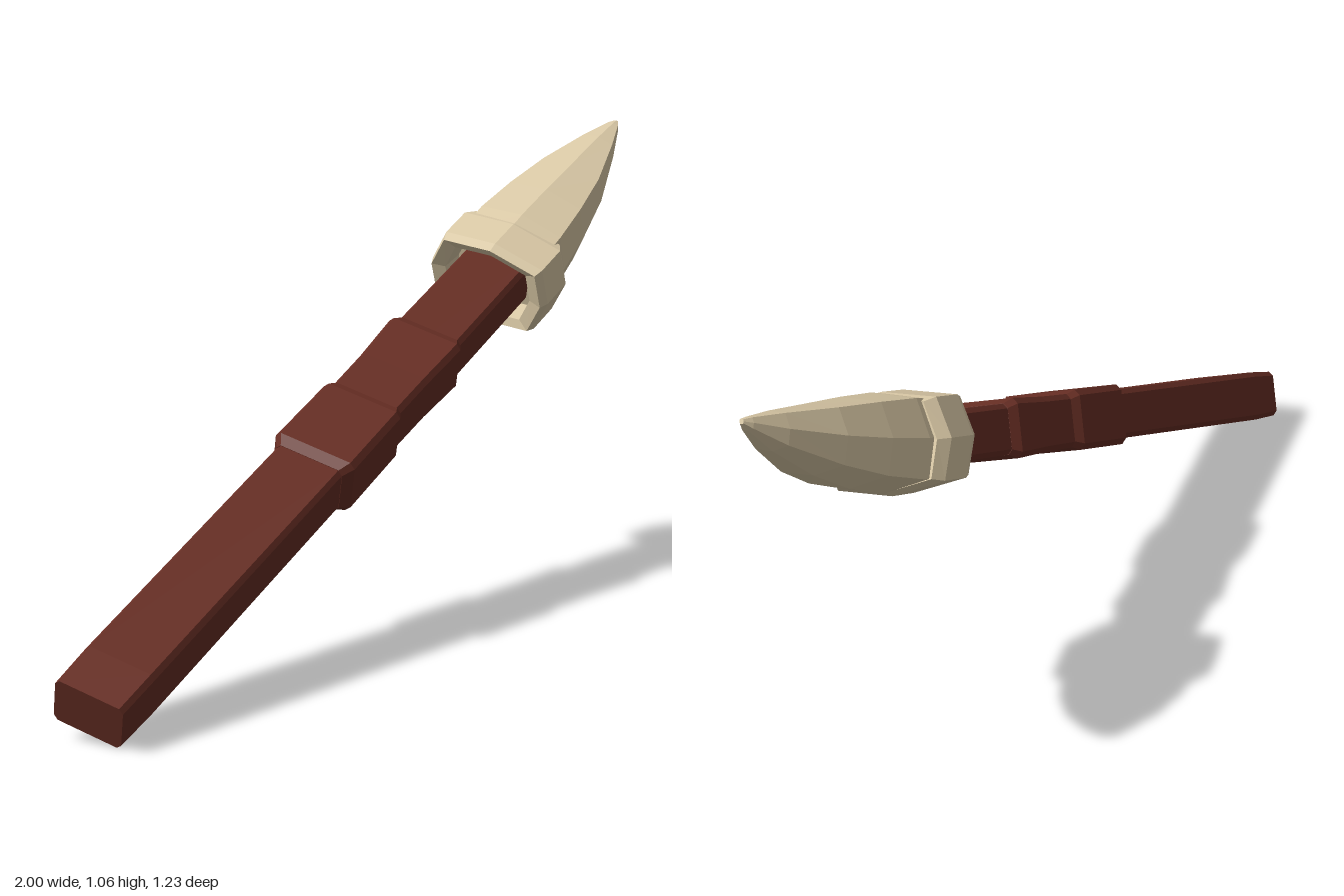
import * as THREE from 'three';

const wood = new THREE.MeshStandardMaterial({ color: 0x672e24 });
wood.name = 'darkWood';
wood.flatShading = true;
const bone = new THREE.MeshStandardMaterial({ color: 0xdccba8 });
bone.name = 'paleBone';
bone.flatShading = true;

// Chamfered rectangle and bulging octagon outlines, in unit half-widths
const BAR = [[1, -0.8], [1, 0.8], [0.88, 1], [-0.88, 1], [-1, 0.8], [-1, -0.8], [-0.88, -1], [0.88, -1]];
const OCT = [[1, 0], [0.83, 0.8], [0, 1], [-0.83, 0.8], [-1, 0], [-0.83, -0.8], [0, -1], [0.83, -0.8]];

// Skin over sections [distance along shaft, half width, half depth, depth offset]
function loft(name, outline, sections, material, capped = true) {
  const n = outline.length;
  const pos = [];
  const index = [];
  for (const [s, a, b, off = 0] of sections) {
    for (const [x, z] of outline) pos.push(x * a, s, z * b + off);
  }
  for (let i = 0; i < sections.length - 1; i++) {
    for (let j = 0; j < n; j++) {
      const p = i * n + j, q = i * n + (j + 1) % n;
      index.push(p, p + n, q, q, p + n, q + n);
    }
  }
  if (capped) {
    const top = (sections.length - 1) * n;
    for (let j = 1; j < n - 1; j++) {
      index.push(0, j, j + 1, top, top + j + 1, top + j);
    }
  }
  const indexed = new THREE.BufferGeometry();
  indexed.setAttribute('position', new THREE.Float32BufferAttribute(pos, 3));
  indexed.setIndex(index);
  const geometry = indexed.toNonIndexed();
  geometry.computeVertexNormals();
  const mesh = new THREE.Mesh(geometry, material);
  mesh.name = name;
  return mesh;
}

export function createModel() {
  const model = new THREE.Group();
  model.name = 'spear';

  // Squared shaft
  model.add(loft('shaft', BAR, [
    [0, 0.083, 0.056], [0.12, 0.085, 0.06], [0.9, 0.084, 0.057], [1.87, 0.08, 0.056],
  ], wood));

  // Two grip sleeves, stepped down towards the head
  model.add(loft('lowerGrip', BAR, [
    [0.91, 0.085, 0.058], [0.935, 0.102, 0.07], [1.15, 0.1, 0.069], [1.175, 0.088, 0.06],
  ], wood));
  model.add(loft('upperGrip', BAR, [
    [1.15, 0.088, 0.061], [1.3, 0.089, 0.062], [1.45, 0.095, 0.067], [1.475, 0.082, 0.057],
  ], wood));

  // Hollow collar around the shaft top
  model.add(loft('collar', OCT, [
    [1.84, 0.11, 0.08], [1.775, 0.115, 0.084], [1.765, 0.148, 0.104], [1.79, 0.157, 0.111],
    [1.885, 0.157, 0.111], [1.915, 0.138, 0.102], [1.9, 0.1, 0.08],
  ], bone, false));

  // Point, bending gently to one side
  model.add(loft('spearPoint', OCT, [
    [1.835, 0.13, 0.104], [1.93, 0.13, 0.107, 0.005], [2.06, 0.116, 0.096, 0.014],
    [2.2, 0.092, 0.074, 0.03], [2.35, 0.047, 0.041, 0.057], [2.435, 0.016, 0.014, 0.077],
    [2.455, 0.005, 0.005, 0.082],
  ], bone));

  // Lean the whole spear along its diagonal
  const along = new THREE.Vector3(0.795, 0.37, -0.481).normalize();
  const across = new THREE.Vector3(0.591, -0.296, 0.753).addScaledVector(along, 0.002).normalize();
  const out = new THREE.Vector3().crossVectors(across, along).normalize();
  model.quaternion.setFromRotationMatrix(new THREE.Matrix4().makeBasis(across, along, out));
  model.position.set(-0.94, 0.078, 0.535);

  const root = new THREE.Group();
  root.name = 'model';
  root.add(model);
  return root;
}
